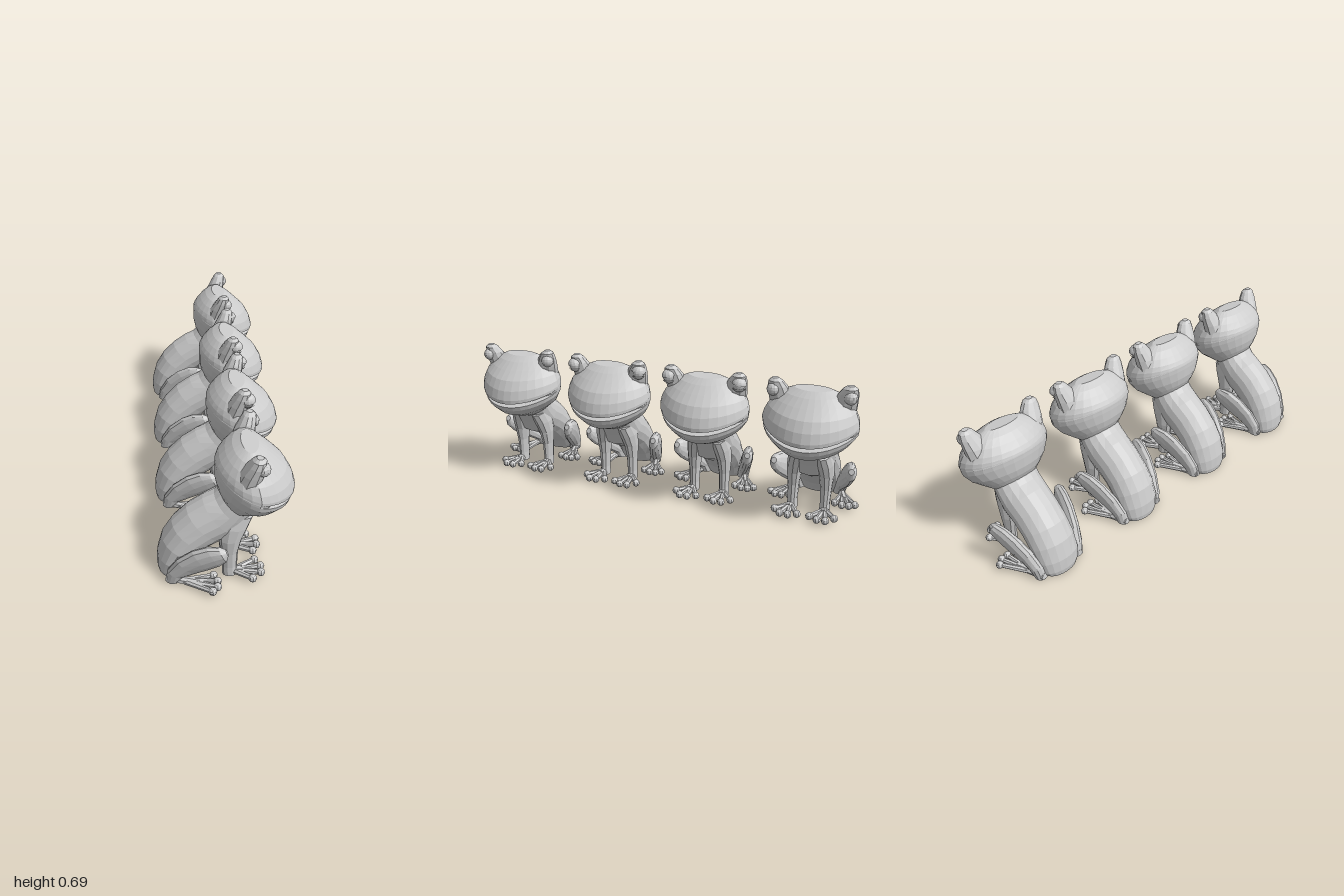
import * as THREE from 'three';

const mat = new THREE.MeshStandardMaterial({ color: 0xcccccc, flatShading: true });

function add(parent, name, geo) {
  const m = new THREE.Mesh(geo, mat);
  m.name = name;
  parent.add(m);
  return m;
}

// Skin over oval rings: each ring is [ax, ay, bx, by, halfWidth, z, inset];
// a and b are its two ends in the side plane, inset pushes the front inwards.
function loft(rings, n, taper = 0) {
  const pos = [], idx = [];
  for (const [ax, ay, bx, by, w, z = 0, inset = 0] of rings) {
    for (let j = 0; j < n; j++) {
      const t = (j / n) * Math.PI * 2;
      const c = Math.cos(t), front = Math.max(0, c);
      const k = 1 - inset * THREE.MathUtils.clamp((c - 0.2) / 0.3, 0, 1);
      pos.push((ax + bx) / 2 + ((bx - ax) / 2) * c * k,
        (ay + by) / 2 + ((by - ay) / 2) * c * k,
        z + w * Math.sin(t) * k * (1 - taper * front));
    }
  }
  for (let i = 0; i < rings.length - 1; i++) {
    for (let j = 0; j < n; j++) {
      const a = i * n + j, b = i * n + (j + 1) % n;
      idx.push(a, a + n, b, b, a + n, b + n);
    }
  }
  // end caps
  [0, rings.length - 1].forEach((i, end) => {
    const [ax, ay, bx, by, , z = 0] = rings[i];
    const c = pos.length / 3;
    pos.push((ax + bx) / 2, (ay + by) / 2, z);
    for (let j = 0; j < n; j++) {
      const a = i * n + j, b = i * n + (j + 1) % n;
      if (end) idx.push(c, b, a); else idx.push(c, a, b);
    }
  });
  const g = new THREE.BufferGeometry();
  g.setAttribute('position', new THREE.Float32BufferAttribute(pos, 3));
  g.setIndex(idx);
  g.computeVertexNormals();
  return g;
}

// Tapered rod between two points
function rod(parent, name, p, q, r0, r1) {
  const a = new THREE.Vector3(...p), b = new THREE.Vector3(...q);
  const d = b.clone().sub(a);
  const m = add(parent, name, new THREE.CylinderGeometry(r1, r0, d.length(), 7));
  m.position.copy(a).addScaledVector(d, 0.5);
  m.quaternion.setFromUnitVectors(new THREE.Vector3(0, 1, 0), d.normalize());
}

function toe(parent, p, q, r) {
  rod(parent, 'toe', p, q, r, r * 0.8);
  add(parent, 'toeTip', new THREE.SphereGeometry(0.019, 8, 6)).position.set(...q);
}

function buildSide(frog, s, sleepy) {
  const side = new THREE.Group();
  side.name = s > 0 ? 'leftRear' : 'rightRear';
  side.name = s > 0 ? 'rightSideParts' : 'leftSideParts';
  frog.add(side);

  // front leg
  add(side, 'frontLeg', loft([
    [-0.014, 0.004, 0.055, 0.004, 0.026, s * 0.08],
    [-0.015, 0.05, 0.052, 0.05, 0.024, s * 0.08],
    [-0.02, 0.13, 0.055, 0.13, 0.028, s * 0.08],
    [-0.03, 0.2, 0.072, 0.2, 0.036, s * 0.078],
    [-0.03, 0.27, 0.098, 0.26, 0.042, s * 0.07],
    [0.0, 0.34, 0.12, 0.31, 0.04, s * 0.06]], 10));
  rod(side, 'frontFoot', [0.01, 0.021, s * 0.08], [0.075, 0.021, s * 0.085], 0.021, 0.019);
  for (const [x, z] of [[0.135, 0.03], [0.157, 0.07], [0.155, 0.11], [0.115, 0.145]])
    toe(side, [0.035, 0.02, s * 0.083], [x, 0.024, s * z], 0.015);

  // folded hind leg, leaning outwards to the knee
  add(side, 'thigh', loft([
    [-0.265, 0.004, -0.2, 0.004, 0.03, s * 0.105],
    [-0.255, 0.07, -0.185, 0.035, 0.032, s * 0.115],
    [-0.215, 0.145, -0.13, 0.07, 0.032, s * 0.135],
    [-0.15, 0.21, -0.075, 0.108, 0.032, s * 0.158],
    [-0.09, 0.242, -0.03, 0.142, 0.03, s * 0.175],
    [-0.04, 0.247, -0.004, 0.175, 0.026, s * 0.187],
    [-0.01, 0.236, 0.002, 0.21, 0.014, s * 0.19]], 12));
  rod(side, 'hindFoot', [-0.26, 0.018, s * 0.105], [-0.12, 0.018, s * 0.15], 0.018, 0.017);
  for (const [x, z] of [[-0.055, 0.115], [-0.04, 0.152], [-0.042, 0.186], [-0.065, 0.212]])
    toe(side, [-0.19, 0.016, s * 0.128], [x, 0.025, s * z], 0.014);

  // raised brow with the eyeball set in its front
  add(side, 'brow', loft([
    [0.03, 0.56, 0.13, 0.54, 0.065, s * 0.135],
    [0.05, 0.61, 0.146, 0.6, 0.056, s * 0.15],
    [0.075, 0.65, 0.15, 0.648, 0.047, s * 0.162],
    [0.092, 0.678, 0.15, 0.675, 0.034, s * 0.17],
    [0.108, 0.691, 0.137, 0.689, 0.016, s * 0.172]], 10));
  const eye = add(side, 'eyeball', new THREE.SphereGeometry(0.031, 12, 8));
  eye.position.set(0.135, 0.637, s * 0.177);
  if (sleepy) {
    const lid = add(side, 'eyelid', new THREE.SphereGeometry(0.036, 12, 6, 0, Math.PI * 2, 0, 1.5));
    lid.position.copy(eye.position);
    lid.rotation.x = s * 0.2;
    const low = add(side, 'lowerEyelid', new THREE.SphereGeometry(0.036, 12, 5, 0, Math.PI * 2, 2, Math.PI - 2));
    low.position.copy(eye.position);
  }
}

function buildFrog(sleepy) {
  const frog = new THREE.Group();

  // body rises from the rump along the back to the neck
  add(frog, 'body', loft([
    [-0.296, 0.003, -0.2, 0.003, 0.085],
    [-0.3, 0.03, -0.19, 0.02, 0.098],
    [-0.297, 0.09, -0.16, 0.06, 0.108],
    [-0.275, 0.175, -0.11, 0.1, 0.112],
    [-0.23, 0.25, -0.06, 0.14, 0.112],
    [-0.165, 0.318, 0.0, 0.17, 0.112],
    [-0.095, 0.365, 0.06, 0.2, 0.114],
    [-0.045, 0.388, 0.095, 0.265, 0.113],
    [-0.018, 0.415, 0.125, 0.315, 0.112],
    [0.02, 0.46, 0.15, 0.37, 0.11]], 18));

  // head in tilted rings, with the mouth cut in between the lips
  add(frog, 'head', loft([
    [-0.02, 0.405, 0.12, 0.308, 0.112],
    [-0.034, 0.44, 0.18, 0.328, 0.15],
    [-0.042, 0.48, 0.24, 0.352, 0.192],
    [-0.043, 0.53, 0.28, 0.386, 0.22],
    [-0.042, 0.548, 0.287, 0.407, 0.224],
    [-0.042, 0.549, 0.285, 0.411, 0.224, 0, 0.16],
    [-0.042, 0.552, 0.29, 0.425, 0.225, 0, 0.16],
    [-0.042, 0.553, 0.297, 0.429, 0.225],
    [-0.041, 0.557, 0.298, 0.448, 0.225],
    [-0.037, 0.567, 0.285, 0.495, 0.219],
    [-0.025, 0.585, 0.258, 0.543, 0.204],
    [0.0, 0.612, 0.215, 0.585, 0.178],
    [0.03, 0.638, 0.175, 0.622, 0.14],
    [0.065, 0.657, 0.14, 0.648, 0.09]], 28, 0.2));

  for (const s of [1, -1]) buildSide(frog, s, sleepy);
  return frog;
}

export function createModel() {
  const model = new THREE.Group();
  // a row of four; the inner pair has half-closed eyes
  [0.775, 0.258, -0.258, -0.775].forEach((z, i) => {
    const frog = buildFrog(i === 1 || i === 2);
    frog.name = 'frog' + (i + 1);
    frog.position.z = z;
    model.add(frog);
  });
  return model;
}
